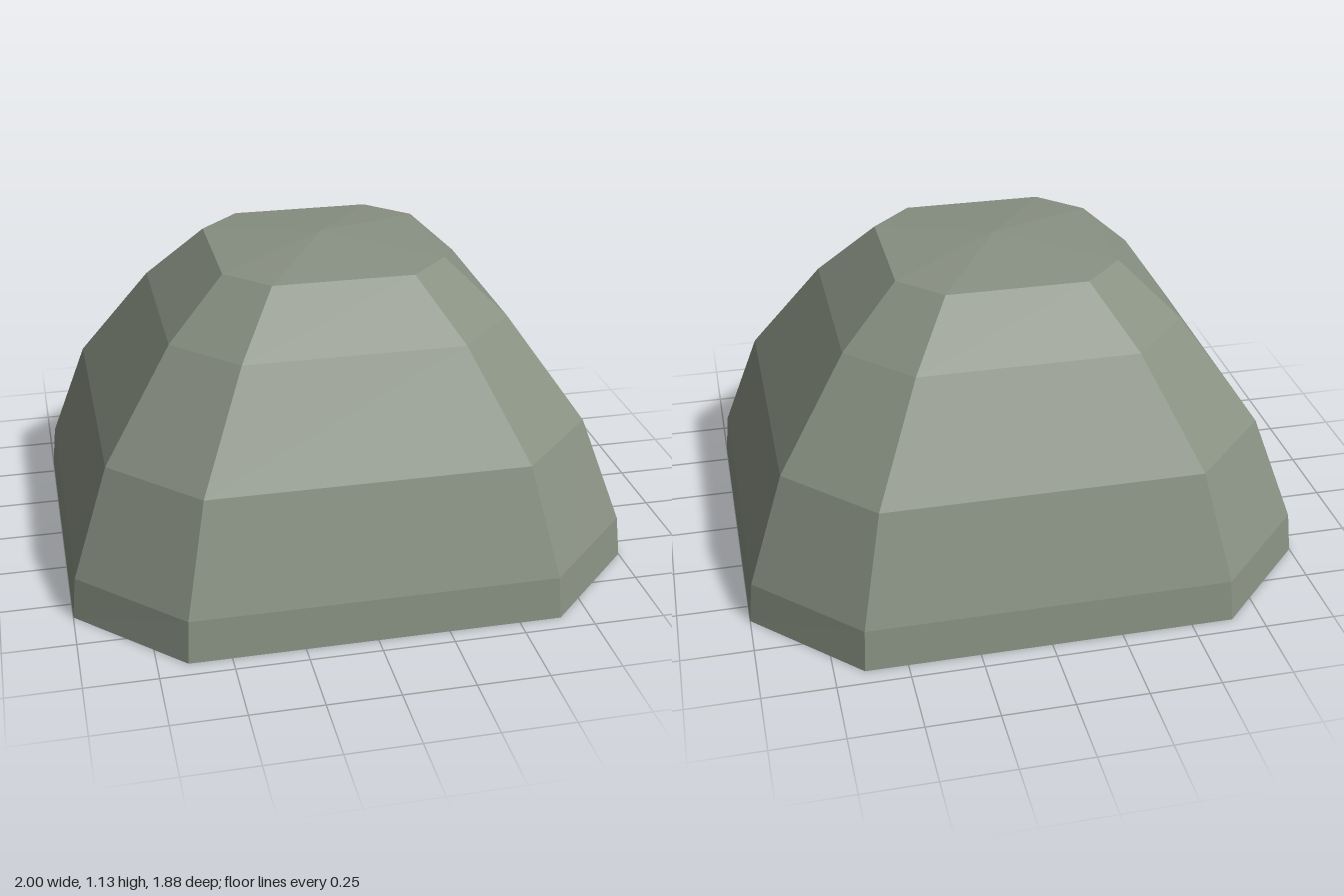
import * as THREE from 'three';

// Octagonal rings: height, half width, half depth, and the ends of the front and side edges
const RINGS = [
  { y: 0, x: 1, z: 0.938, ix: 0.647, iz: 0.585 },
  { y: 0.15, x: 0.985, z: 0.92, ix: 0.64, iz: 0.577 },
  { y: 0.53, x: 0.853, z: 0.8, ix: 0.56, iz: 0.503 },
  { y: 0.89, x: 0.603, z: 0.565, ix: 0.388, iz: 0.343 },
  { y: 1.09, x: 0.397, z: 0.382, ix: 0.25, iz: 0.236 },
];
const APEX = [0, 1.135, 0];

// Corners run anticlockwise as seen from above
function ringPoints({ y, x, z, ix, iz }) {
  return [
    [x, y, iz], [x, y, -iz], [ix, y, -z], [-ix, y, -z],
    [-x, y, -iz], [-x, y, iz], [-ix, y, z], [ix, y, z],
  ];
}

// Visits each neighbouring pair of corners
function eachSide(visit) {
  for (let i = 0; i < 8; i++) visit(i, (i + 1) % 8);
}

function makeMesh(name, triangles, material) {
  const geometry = new THREE.BufferGeometry();
  geometry.setAttribute('position', new THREE.Float32BufferAttribute(triangles.flat(2), 3));
  geometry.computeVertexNormals();
  const mesh = new THREE.Mesh(geometry, material);
  mesh.name = name;
  return mesh;
}

export function createModel() {
  const group = new THREE.Group();
  group.name = 'facetedDome';
  const stone = new THREE.MeshStandardMaterial({ color: 0x889082 });
  stone.name = 'grey green stone';
  stone.flatShading = true;

  const rings = RINGS.map(ringPoints);

  // Stacked sloping bands
  const walls = [];
  for (let r = 0; r < rings.length - 1; r++) {
    const low = rings[r], high = rings[r + 1];
    eachSide((a, b) => walls.push(
      [low[a], low[b], high[b]],
      [low[a], high[b], high[a]],
    ));
  }
  group.add(makeMesh('domeWall', walls, stone));

  // Shallow pointed cap
  const top = rings[rings.length - 1];
  const cap = [];
  eachSide((a, b) => cap.push([top[a], top[b], APEX]));
  group.add(makeMesh('domeCap', cap, stone));

  // Flat underside
  const base = [];
  eachSide((a, b) => base.push([[0, 0, 0], rings[0][b], rings[0][a]]));
  group.add(makeMesh('base', base, stone));

  return group;
}
